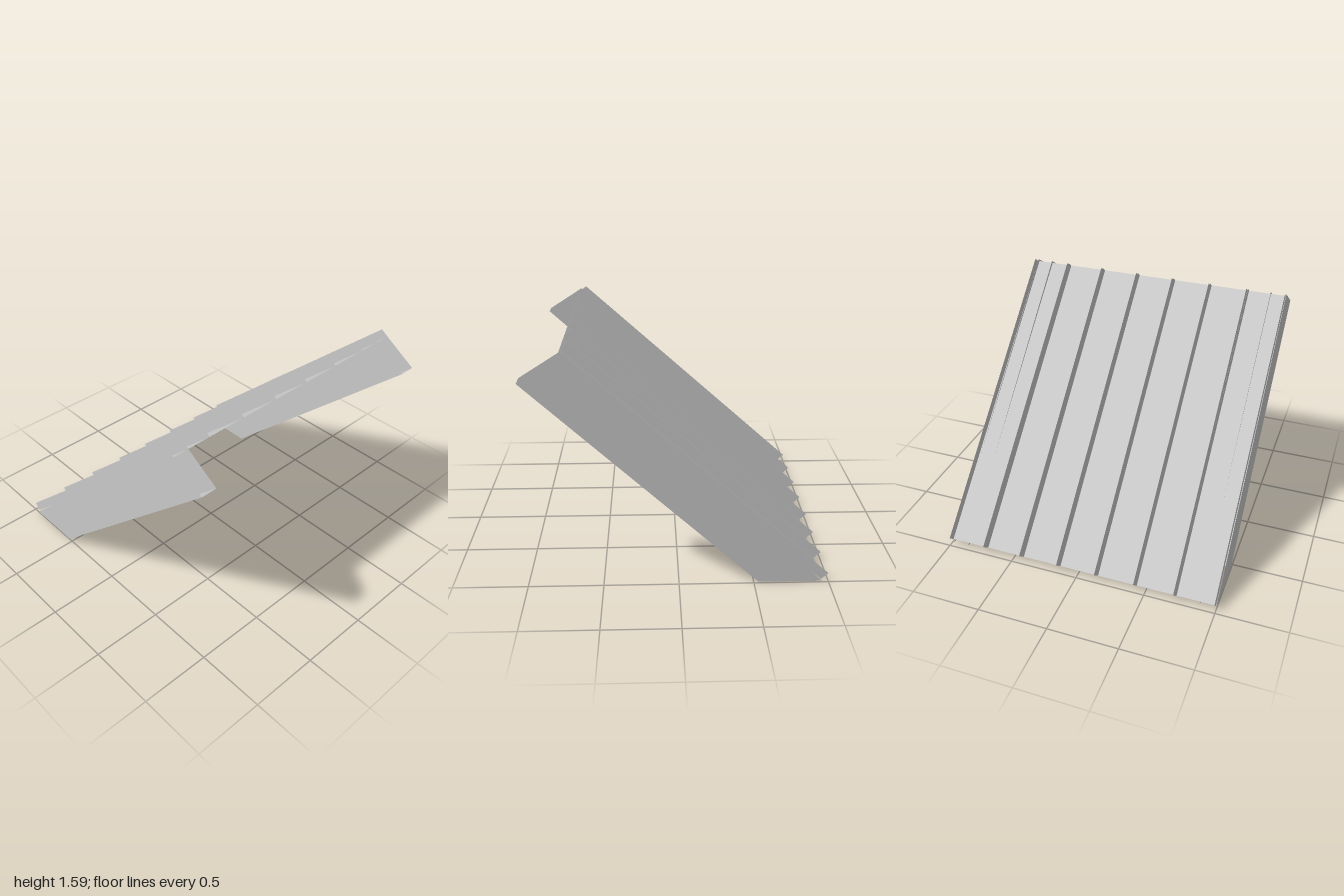
import * as THREE from 'three';

const material = new THREE.MeshStandardMaterial({ color: 0xcccccc, flatShading: true, side: THREE.DoubleSide });

// Open-topped channel: a floor sheet and two side walls, running from a low end to a high end.
// Each end is given as its rim and floor points [x, y].
function channel(name, low, high, z0, z1) {
  const section = ({ rim, floor }) => [
    [...rim, z0], [...floor, z0], [...floor, z1], [...rim, z1],
  ];
  const s = section(low);
  const e = section(high);
  const positions = [];
  for (let i = 0; i < 3; i++) {
    for (const p of [s[i], e[i], e[i + 1], s[i], e[i + 1], s[i + 1]]) positions.push(...p);
  }
  const geometry = new THREE.BufferGeometry();
  geometry.setAttribute('position', new THREE.Float32BufferAttribute(positions, 3));
  geometry.computeVertexNormals();
  const mesh = new THREE.Mesh(geometry, material);
  mesh.name = name;
  return mesh;
}

export function createModel() {
  const model = new THREE.Group();
  model.name = 'slopedPlankRamp';

  // Seven planks side by side, running up the slope
  const planks = new THREE.Group();
  planks.name = 'planks';
  const count = 7;
  const gap = 0.012;
  const zStart = -0.997;
  const width = (0.993 - zStart - gap * (count - 1)) / count;
  for (let i = 0; i < count; i++) {
    const z = zStart + i * (width + gap);
    planks.add(channel(
      `plank${i + 1}`,
      { rim: [-0.997, 0.064], floor: [-0.949, 0.021] },
      { rim: [0.695, 1.59], floor: [0.745, 1.553] },
      z, z + width,
    ));
  }
  model.add(planks);

  // Two deep side beams, cut level at the foot
  for (const [name, z0, z1] of [['frontBeam', 0.883, 0.998], ['backBeam', -0.987, -0.872]]) {
    model.add(channel(
      name,
      { rim: [-0.96, 0], floor: [-0.533, 0] },
      { rim: [0.735, 1.572], floor: [0.99, 1.41] },
      z0, z1,
    ));
  }
  return model;
}
